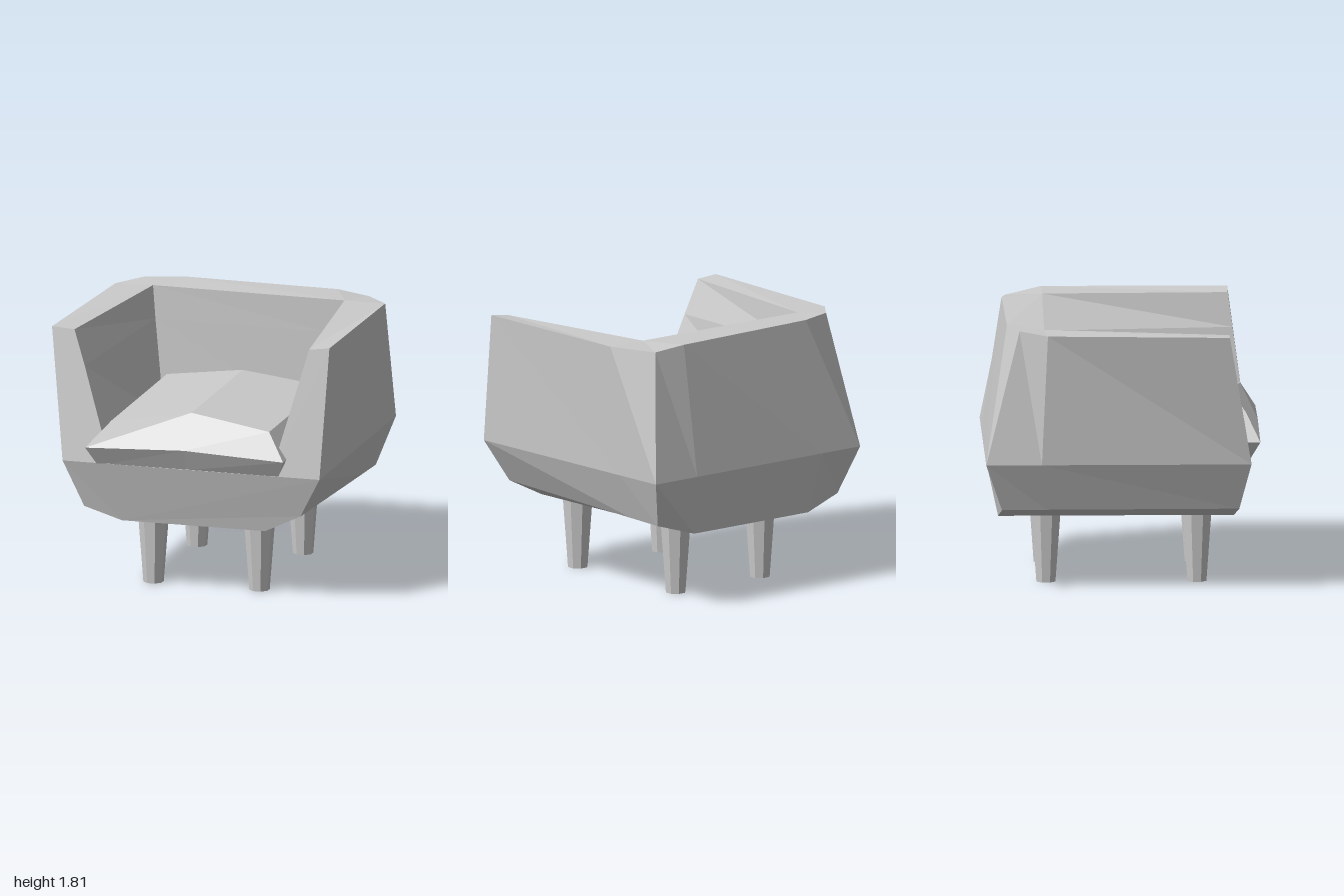
import * as THREE from 'three';

const material = new THREE.MeshStandardMaterial({ color: 0xcccccc, flatShading: true });

// Mesh from flat polygons, each a list of [x, y, z] corners, counter-clockwise from outside
function polygonMesh(name, polygons) {
  const positions = [];
  for (const p of polygons) {
    for (let i = 1; i < p.length - 1; i++) positions.push(...p[0], ...p[i], ...p[i + 1]);
  }
  const geometry = new THREE.BufferGeometry();
  geometry.setAttribute('position', new THREE.Float32BufferAttribute(positions, 3));
  geometry.computeVertexNormals();
  const mesh = new THREE.Mesh(geometry, material);
  mesh.name = name;
  return mesh;
}

// Tub shell: each row runs front left, round the back, to front right
function createShell() {
  const U = (fl, bl, br, fr) => [fl, bl, bl, bl, br, br, br, fr];
  const bottom = U([-0.49, 0.48, 0.76], [-0.49, 0.48, -0.85], [0.53, 0.48, -0.85], [0.53, 0.48, 0.76]);
  bottom[1] = [-0.49, 0.48, -0.53];
  bottom[6] = [0.53, 0.48, -0.53];
  const lower = [
    [-0.75, 0.57, 0.79], [-0.76, 0.57, -0.53], [-0.77, 0.57, -0.83], [-0.49, 0.48, -0.85],
    [0.53, 0.48, -0.85], [0.84, 0.575, -0.83], [0.83, 0.58, -0.53], [0.79, 0.61, 0.79],
  ];
  const waist = [
    [-0.88, 0.9, 0.87], [-0.88, 0.9, -0.56], [-0.88, 0.9, -0.94], [-0.54, 0.9, -0.94],
    [0.58, 0.9, -0.94], [0.95, 0.9, -0.94], [0.95, 0.9, -0.56], [0.95, 0.9, 0.87],
  ];
  const rim = [
    [-1, 1.8, 0.72], [-0.92, 1.8, -0.52], [-0.77, 1.81, -0.71], [-0.52, 1.81, -0.79],
    [0.58, 1.8, -0.8], [0.81, 1.775, -0.77], [1, 1.8, -0.52], [0.985, 1.8, 0.75],
  ];
  const innerRim = U([-0.84, 1.79, 0.72], [-0.66, 1.8, -0.54], [0.71, 1.8, -0.52], [0.84, 1.78, 0.75]);
  const innerWall = U([-0.755, 1.55, 0.76], [-0.64, 1.57, -0.53], [0.56, 1.57, -0.52], [0.78, 1.55, 0.78]);
  const floor = U([-0.54, 0.9, 0.87], [-0.57, 0.9, -0.5], [0.55, 0.9, -0.5], [0.6, 0.9, 0.87]);

  const rows = [bottom, lower, waist, rim, innerRim, innerWall, floor];
  const faces = [];
  for (let r = 0; r < rows.length - 1; r++) {
    for (let i = 0; i < 7; i++) {
      faces.push([rows[r][i], rows[r + 1][i], rows[r + 1][i + 1], rows[r][i + 1]]);
    }
  }
  // Arm fronts, front panel, seat floor and underside
  faces.push([waist[0], floor[0], innerWall[0], innerRim[0], rim[0]]);
  faces.push([floor[7], waist[7], rim[7], innerRim[7], innerWall[7]]);
  faces.push([bottom[0], bottom[7], lower[7], waist[7], waist[0], lower[0]]);
  faces.push([floor[0], floor[7], floor[5], floor[2]]);
  faces.push([bottom[2], bottom[5], bottom[7], bottom[0]]);
  return polygonMesh('tubShell', faces);
}

// Cushion: three rings of front left, front centre, front right, then the back
function createCushion() {
  const rings = [
    [[-0.63, 0.88, 0.86], [0, 0.895, 0.86], [0.65, 0.885, 0.86], [0.65, 0.88, -0.58], [0, 0.88, -0.58], [-0.63, 0.88, -0.58]],
    [[-0.7, 1.02, 0.935], [0, 1.05, 0.935], [0.71, 1.02, 0.935], [0.71, 1.02, -0.6], [0, 1.05, -0.6], [-0.7, 1.02, -0.6]],
    [[-0.54, 1.2, 0.84], [0, 1.27, 0.74], [0.58, 1.2, 0.83], [0.58, 1.2, -0.47], [0, 1.27, -0.47], [-0.54, 1.2, -0.47]],
  ];
  const faces = [];
  for (let r = 0; r < 2; r++) {
    for (let i = 0; i < 6; i++) {
      const j = (i + 1) % 6;
      faces.push([rings[r][i], rings[r][j], rings[r + 1][j], rings[r + 1][i]]);
    }
  }
  const [under, , top] = rings;
  faces.push([top[0], top[1], top[4], top[5]], [top[1], top[2], top[3], top[4]]);
  faces.push([...under].reverse());
  return polygonMesh('seatCushion', faces);
}

// Tapered eight-sided leg
function createLeg(name, x, z) {
  const geometry = new THREE.CylinderGeometry(0.108, 0.07, 0.5, 8);
  geometry.rotateY(Math.PI / 8);
  const leg = new THREE.Mesh(geometry, material);
  leg.name = name;
  leg.position.set(x, 0.25, z);
  return leg;
}

export function createModel() {
  const model = new THREE.Group();
  model.name = 'armchair';
  model.add(createShell(), createCushion());
  for (const [side, x] of [['Right', -0.34], ['Left', 0.415]]) {
    model.add(createLeg(`front${side}Leg`, x, 0.51));
    model.add(createLeg(`back${side}Leg`, x, -0.52));
  }
  return model;
}
